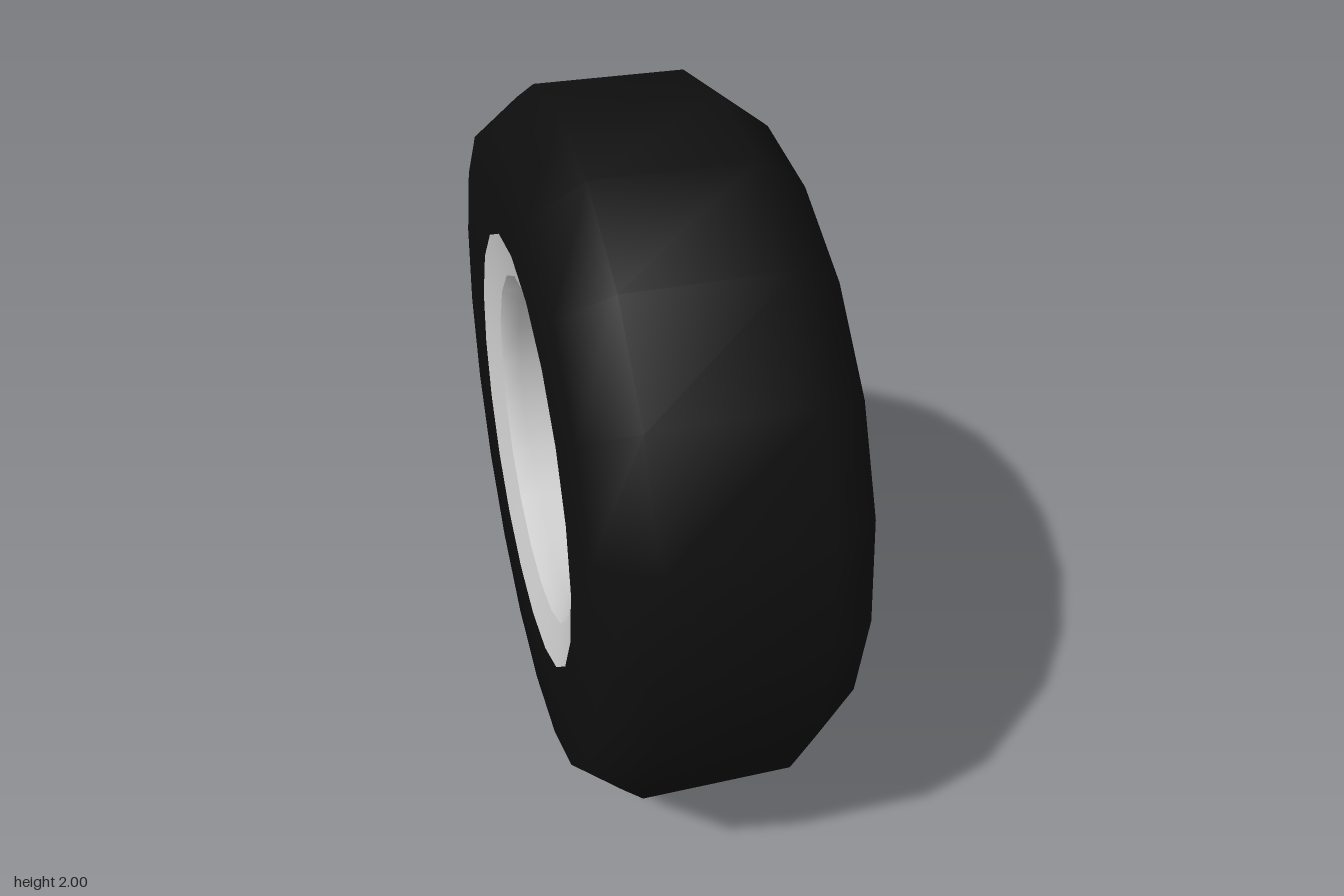
import * as THREE from 'three';

const SIDES = 20;
const metal = new THREE.MeshStandardMaterial({ color: 0xcccccc, side: THREE.DoubleSide });
const rubber = new THREE.MeshStandardMaterial({ color: 0x0e0e0e, side: THREE.DoubleSide });

// Revolve [radius, x] points around the x axis
function revolve(name, profile, material) {
  const points = profile.map(([r, x]) => new THREE.Vector2(r, x));
  const geometry = new THREE.LatheGeometry(points, SIDES);
  geometry.rotateZ(-Math.PI / 2);
  const mesh = new THREE.Mesh(geometry, material);
  mesh.name = name;
  return mesh;
}

// Tapered spoke pointing up, wider where it meets the rim
function spokeGeometry() {
  const shape = new THREE.Shape([
    new THREE.Vector2(-0.04, 0.24),
    new THREE.Vector2(0.04, 0.24),
    new THREE.Vector2(0.071, 0.468),
    new THREE.Vector2(-0.071, 0.468),
  ]);
  const geometry = new THREE.ExtrudeGeometry(shape, { depth: 0.1, bevelEnabled: false });
  geometry.rotateY(Math.PI / 2);
  geometry.translate(0.165, 0, 0);
  return geometry;
}

export function createModel() {
  const wheel = new THREE.Group();
  wheel.name = 'wheel';
  wheel.position.y = 1;

  // Tyre with chamfered shoulders
  wheel.add(revolve('tyre', [
    [0.62, -0.34], [0.9, -0.34], [1, -0.205], [1, 0.205], [0.9, 0.34], [0.62, 0.34],
  ], rubber));

  // Rim: flange on each side and an open barrel between
  for (const [name, s] of [['outerFlange', 1], ['innerFlange', -1]]) {
    const flange = [[0.5, 0.31 * s], [0.62, 0.34 * s]];
    wheel.add(revolve(name, s > 0 ? flange : flange.reverse(), metal));
  }
  wheel.add(revolve('barrel', [
    [0.5, 0.31], [0.457, 0.26], [0.457, -0.26], [0.5, -0.31],
  ], metal));

  // Hub on the outer side
  wheel.add(revolve('hubWall', [[0.29, 0.165], [0.29, 0.285]], metal));
  wheel.add(revolve('hubFace', [[0.29, 0.285], [0, 0.295]], metal));
  wheel.add(revolve('hubBack', [[0, 0.165], [0.29, 0.165]], metal));

  // Four diagonal spokes
  const geometry = spokeGeometry();
  for (let i = 0; i < 4; i++) {
    const spoke = new THREE.Mesh(geometry, metal);
    spoke.name = 'spoke';
    spoke.rotation.x = Math.PI / 4 + (i * Math.PI) / 2;
    wheel.add(spoke);
  }

  const model = new THREE.Group();
  model.add(wheel);
  return model;
}
